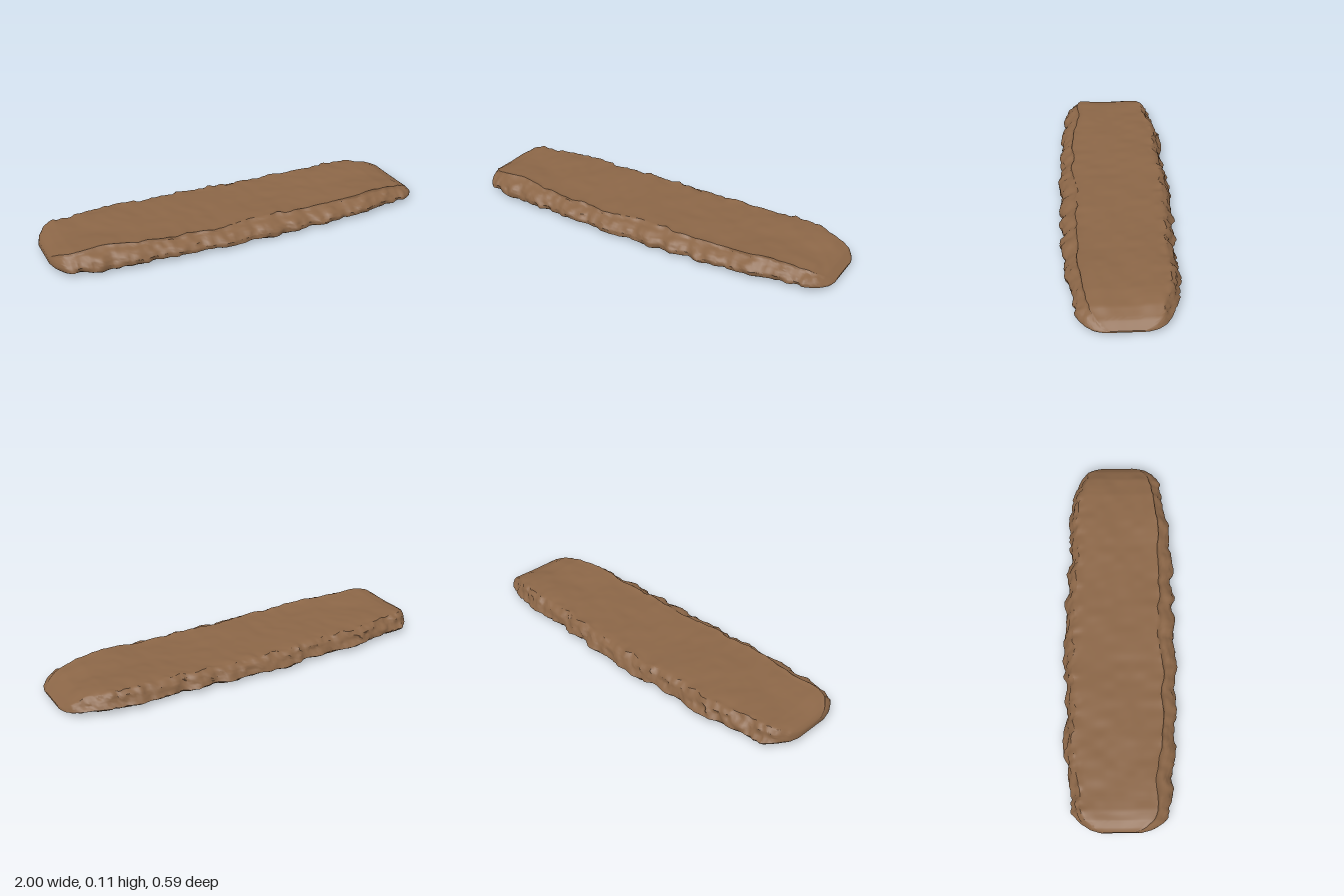
import * as THREE from 'three';
import { toCreasedNormals } from 'three/addons/utils/BufferGeometryUtils.js';

// Repeatable smooth value noise in -1..1
function hash(i, j, k) {
  const s = Math.sin(i * 127.1 + j * 311.7 + k * 74.7) * 43758.5453;
  return (s - Math.floor(s)) * 2 - 1;
}
function noise(x, y, z) {
  const i = Math.floor(x), j = Math.floor(y), k = Math.floor(z);
  const ease = t => t * t * (3 - 2 * t);
  const u = ease(x - i), v = ease(y - j), w = ease(z - k);
  let sum = 0;
  for (let a = 0; a < 2; a++) for (let b = 0; b < 2; b++) for (let c = 0; c < 2; c++) {
    sum += hash(i + a, j + b, k + c) * (a ? u : 1 - u) * (b ? v : 1 - v) * (c ? w : 1 - w);
  }
  return sum;
}

// Slab measurements along its length: x, front z, back z, top y, underside y
const stations = [
  [-1.0, 0.10, -0.10, 0.060, 0.032], [-0.985, 0.155, -0.15, 0.078, 0.028],
  [-0.95, 0.21, -0.20, 0.098, 0.024], [-0.9, 0.24, -0.235, 0.108, 0.020],
  [-0.75, 0.255, -0.25, 0.108, 0.014], [-0.6, 0.27, -0.285, 0.106, 0.012],
  [-0.4, 0.275, -0.265, 0.102, 0.012], [-0.15, 0.285, -0.285, 0.098, 0.008],
  [0.2, 0.28, -0.28, 0.098, 0.010], [0.45, 0.27, -0.26, 0.100, 0.013],
  [0.65, 0.255, -0.265, 0.108, 0.013], [0.8, 0.235, -0.245, 0.105, 0.016],
  [0.9, 0.21, -0.215, 0.088, 0.018], [0.96, 0.175, -0.185, 0.060, 0.018],
  [0.99, 0.14, -0.14, 0.035, 0.018], [1.0, 0.10, -0.10, 0.027, 0.018],
];
function measure(x) {
  let n = 1;
  while (n < stations.length - 1 && stations[n][0] < x) n++;
  const a = stations[n - 1], b = stations[n];
  const t = (x - a[0]) / (b[0] - a[0]);
  return a.map((value, i) => value + (b[i] - value) * t);
}

// Cross-section: across (front 1, back -1), height (0..1), subdivisions to next point
const profile = [
  [0.92, 0.0, 2], [0.99, 0.12, 2], [1.0, 0.36, 3], [0.95, 0.58, 3], [0.86, 0.76, 3],
  [0.77, 0.86, 2], [0.73, 1.0, 2], [0.66, 0.96, 8], [0.0, 0.94, 8], [-0.65, 0.98, 4],
  [-0.84, 0.96, 3], [-0.92, 0.74, 3], [-0.96, 0.48, 3], [-1.0, 0.2, 2], [-0.93, 0.03, 5],
  [-0.5, 0.0, 6], [0.4, 0.02, 5],
];
const ring = [];
profile.forEach(([u, v, steps], i) => {
  const [u2, v2] = profile[(i + 1) % profile.length];
  for (let s = 0; s < steps; s++) {
    ring.push([u + (u2 - u) * s / steps, v + (v2 - v) * s / steps]);
  }
});

function slabGeometry() {
  const rows = 170, count = ring.length;
  const positions = [], indices = [];

  for (let r = 0; r <= rows; r++) {
    // Rows gather towards the rounded ends
    const s = r / rows * 2 - 1;
    const x = 0.55 * s + 0.45 * Math.sin(s * Math.PI / 2);
    const [, front, back, top, bottom] = measure(x);
    const endFade = Math.min(1, (1 - Math.abs(x)) / 0.08);

    for (const [u, v] of ring) {
      const half = (front - back) / 2;
      let z = (front + back) / 2 + u * half;
      let y = bottom + v * (top - bottom);
      const edge = THREE.MathUtils.smoothstep(Math.abs(u), 0.62, 0.9);
      const side = Math.sign(u);

      // Rounded lobes and fine crumbling along both long edges
      const lobe = Math.abs(Math.sin(x * 15 + side + noise(x * 3, side, 4) * 1.5)) - 0.6;
      const crumb = noise(x * 28, y * 34, z * 14 + 9);
      const grit = noise(x * 55, y * 60, z * 30 + 31);
      z += side * edge * endFade *
        ((u > 0 ? 0.018 : 0.010) * lobe + 0.010 * crumb + (u > 0 ? 0.004 : 0.007) * grit);

      // Wavering front lip, gentle dents on top, wavy underside
      const lip = Math.exp(-(((u - 0.71) / 0.09) ** 2)) * v;
      z += lip * endFade * 0.018 * noise(x * 9, 7, 2);
      y += endFade * v * (0.006 * noise(x * 6, 3, z * 8) + 0.003 * noise(x * 20, 5, z * 20));
      y += endFade * v * edge * 0.009 * noise(x * 32, 11, z * 30);
      y += endFade * (1 - v) * 0.007 * noise(x * 8, 17, z * 8);

      positions.push(x, Math.max(0, y), THREE.MathUtils.clamp(z, -0.3, 0.3));
    }
  }

  // Skin between neighbouring sections
  for (let r = 0; r < rows; r++) {
    for (let i = 0; i < count; i++) {
      const j = (i + 1) % count;
      const a = r * count + i, b = r * count + j;
      indices.push(a, a + count, b, b, a + count, b + count);
    }
  }

  // Small closing faces at the two ends
  for (const [row, x] of [[0, -1], [rows, 1]]) {
    const [, , , top, bottom] = measure(x);
    const centre = positions.length / 3;
    positions.push(x, (top + bottom) / 2, 0);
    for (let i = 0; i < count; i++) {
      const a = row * count + i, b = row * count + (i + 1) % count;
      if (x < 0) indices.push(centre, a, b);
      else indices.push(centre, b, a);
    }
  }

  const geometry = new THREE.BufferGeometry();
  geometry.setAttribute('position', new THREE.Float32BufferAttribute(positions, 3));
  geometry.setIndex(indices);
  geometry.computeBoundingBox();
  geometry.translate(0, -geometry.boundingBox.min.y, 0);
  return toCreasedNormals(geometry, 0.8);
}

export function createModel() {
  const earth = new THREE.MeshStandardMaterial({ color: 0x8b6647 });
  earth.name = 'earth brown';

  const slab = new THREE.Mesh(slabGeometry(), earth);
  slab.name = 'earthSlab';

  const group = new THREE.Group();
  group.name = 'earthPlatform';
  group.add(slab);
  return group;
}
